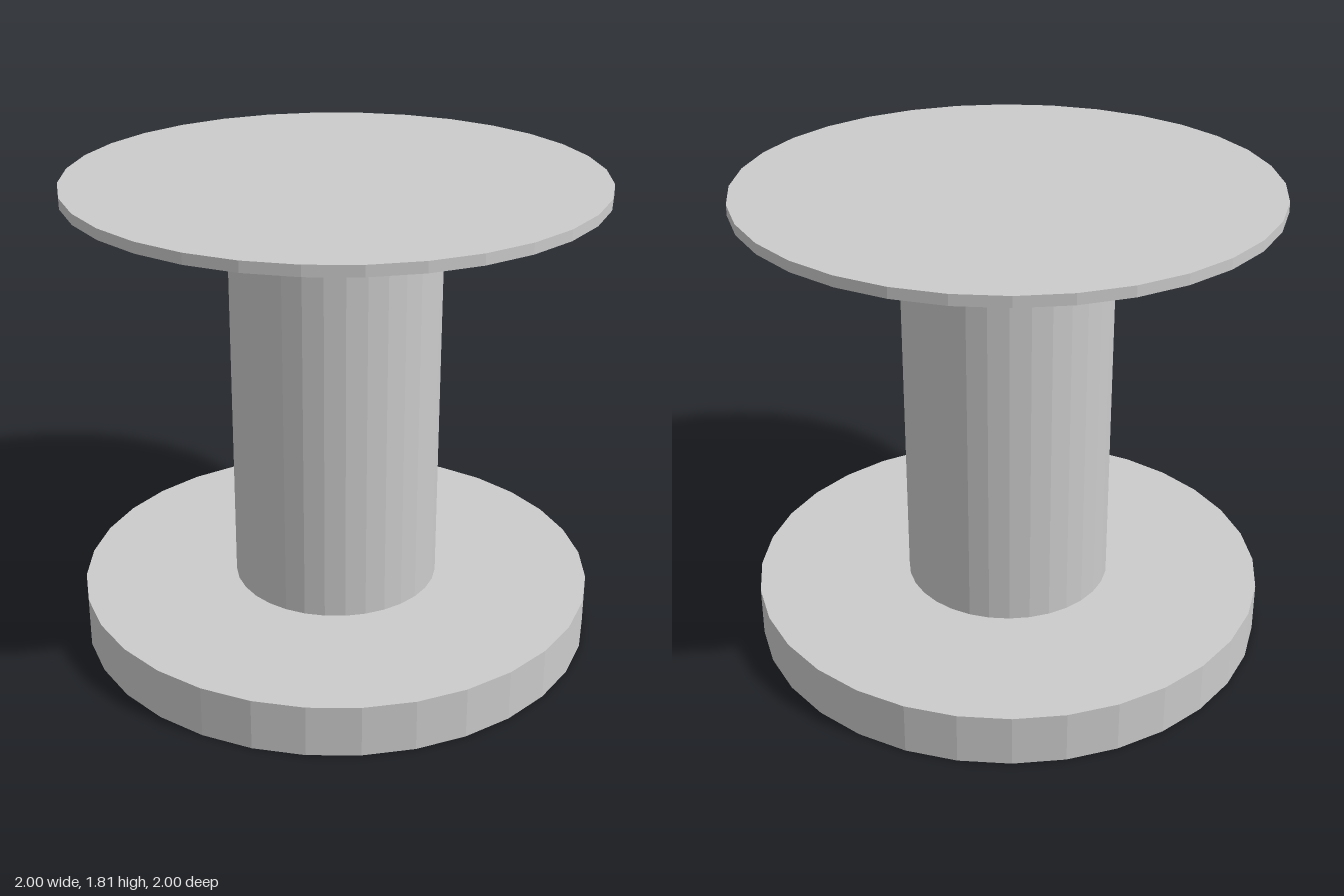
import * as THREE from 'three';

const SIDES = 32;

export function createModel() {
  const group = new THREE.Group();
  const material = new THREE.MeshStandardMaterial({ color: 0xcccccc, flatShading: true });

  // Upright faceted disc or column between two heights
  const addCylinder = (name, radius, bottom, top) => {
    const geometry = new THREE.CylinderGeometry(radius, radius, top - bottom, SIDES);
    const mesh = new THREE.Mesh(geometry, material);
    mesh.name = name;
    mesh.position.y = (bottom + top) / 2;
    group.add(mesh);
  };

  addCylinder('base', 1, 0, 0.2);
  addCylinder('column', 0.4, 0.2, 1.77);
  addCylinder('tableTop', 1, 1.77, 1.81);

  return group;
}
